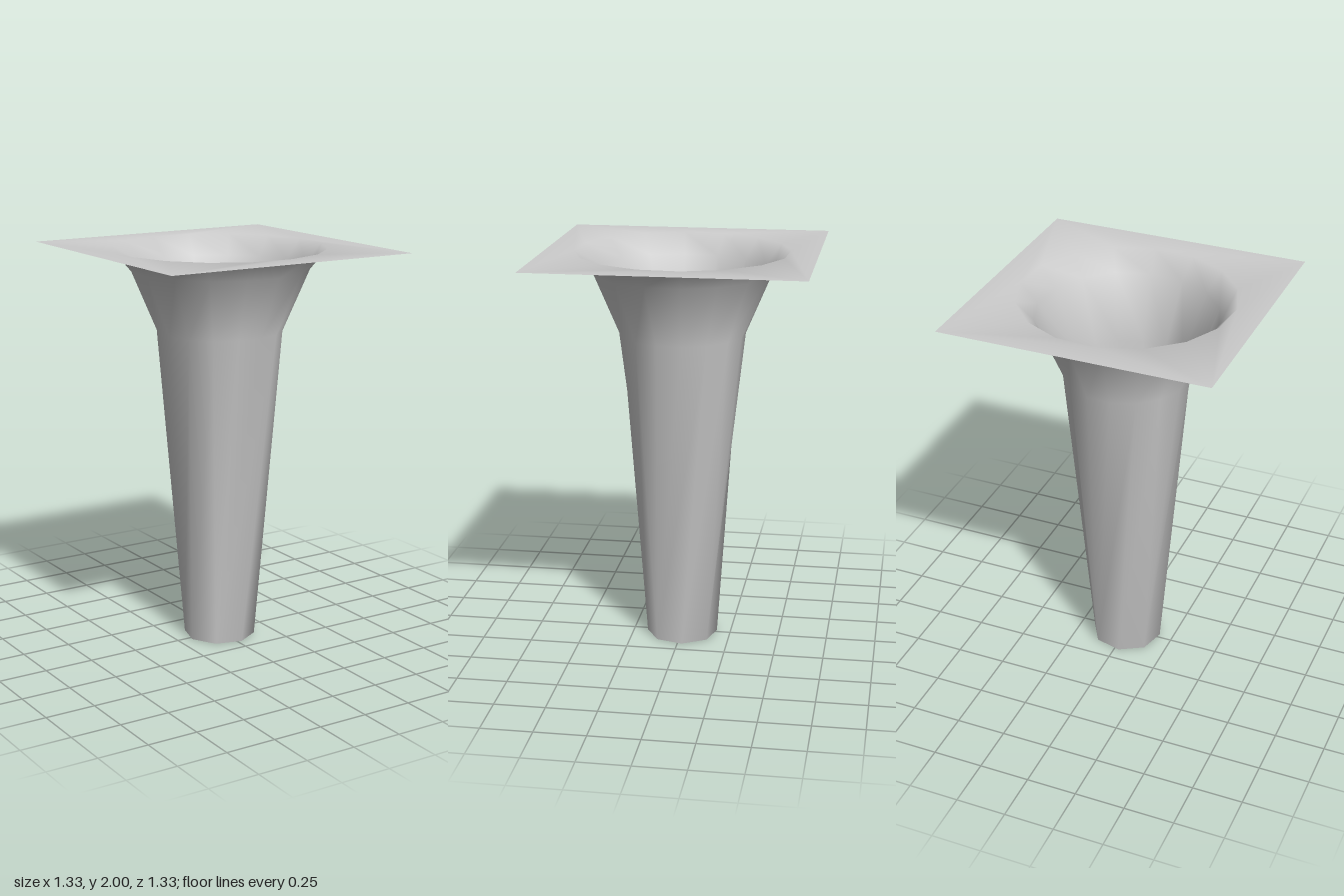
import * as THREE from 'three';

const OFFSET = THREE.MathUtils.degToRad(-7.4);
const HALF = 0.667; // half width of the square sheet
const SIDES = 16;
const BASE_SIDES = 8;

export function createModel() {
  const positions = [];
  const indices = [];
  const tri = (a, b, c) => indices.push(a, b, c);

  // Adds one ring of vertices and returns a lookup that wraps around.
  const addRing = (radius, y, sides, offset = OFFSET) => {
    const start = positions.length / 3;
    for (let i = 0; i < sides; i++) {
      const a = offset + (i / sides) * Math.PI * 2;
      positions.push(radius * Math.cos(a), y, radius * Math.sin(a));
    }
    return (i) => start + ((i % sides) + sides) % sides;
  };

  const base = addRing(0.18, 0, BASE_SIDES);
  const waist = addRing(0.313, 1.59, SIDES);
  const flare = addRing(0.445, 1.9, SIDES);
  const lip = addRing(0.53, 2, SIDES);
  const corner = addRing(HALF * Math.SQRT2, 2, 4, Math.PI / 4);
  const centre = positions.length / 3;
  positions.push(0, 0, 0);

  // Closed bottom of the shaft
  for (let j = 0; j < BASE_SIDES; j++) tri(centre, base(j + 1), base(j));

  // Twisted shaft: each quarter joins two base edges to four waist edges
  for (let q = 0; q < 4; q++) {
    const k = q * 4;
    const j = q * 2;
    tri(waist(k - 2), base(j), waist(k - 1));
    tri(waist(k - 1), base(j), base(j + 1));
    for (let i = -1; i < 2; i++) tri(waist(k + i), base(j + 1), waist(k + i + 1));
    tri(waist(k + 2), base(j + 1), base(j + 2));
  }

  // Flaring throat
  for (const [lower, upper] of [[waist, flare], [flare, lip]]) {
    for (let k = 0; k < SIDES; k++) {
      tri(lower(k), lower(k + 1), upper(k));
      tri(upper(k), lower(k + 1), upper(k + 1));
    }
  }

  // Flat square sheet around the lip
  for (let c = 0; c < 4; c++) {
    for (let k = c * 4; k < c * 4 + 4; k++) tri(lip(k), lip(k + 1), corner(c));
    tri(lip(c * 4 + 4), corner(c + 1), corner(c));
  }

  const geometry = new THREE.BufferGeometry();
  geometry.setAttribute('position', new THREE.Float32BufferAttribute(positions, 3));
  geometry.setIndex(indices);
  geometry.computeVertexNormals();

  const funnel = new THREE.Mesh(
    geometry,
    new THREE.MeshStandardMaterial({ color: 0xcccccc, side: THREE.DoubleSide })
  );
  funnel.name = 'funnelSheet';

  const model = new THREE.Group();
  model.name = 'funnel';
  model.add(funnel);
  return model;
}
